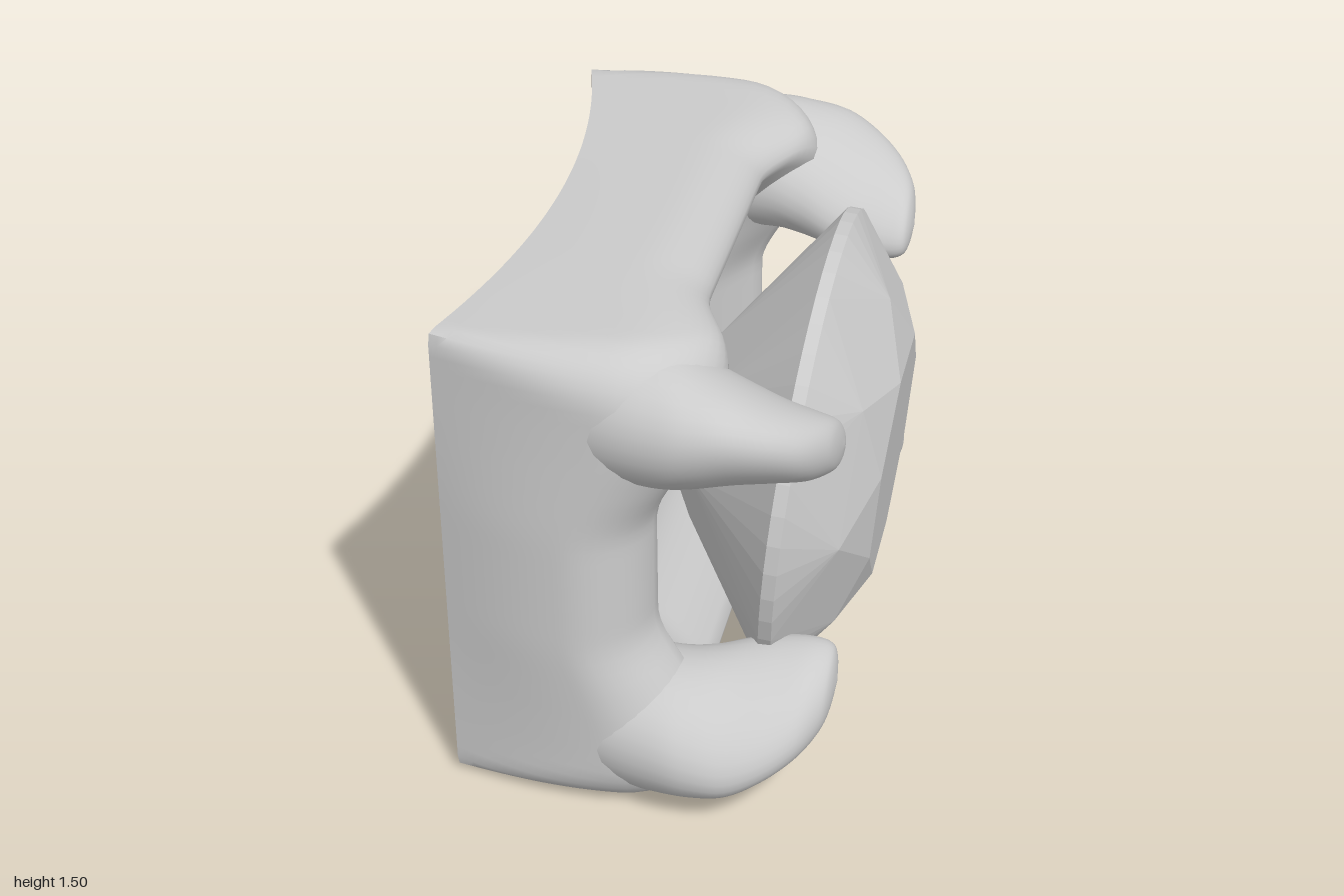
import * as THREE from 'three';
import { mergeVertices, toCreasedNormals } from 'three/addons/utils/BufferGeometryUtils.js';
import { ConvexGeometry } from 'three/addons/geometries/ConvexGeometry.js';

const { lerp, smoothstep, clamp } = THREE.MathUtils;
const MID = 0.755; // height of the middle of the block

const grey = () => new THREE.MeshStandardMaterial({ color: 0xcccccc });

function addMesh(group, name, geometry) {
  const mesh = new THREE.Mesh(geometry, grey());
  mesh.name = name;
  group.add(mesh);
  return mesh;
}

// Block: a box reshaped with a hollow back, a rounded front lip and a dished seat
function blockGeometry() {
  const geo = new THREE.BoxGeometry(1, 2, 2, 28, 40, 48);
  const pos = geo.attributes.position;
  for (let i = 0; i < pos.count; i++) {
    const t = pos.getX(i) + 0.5, u = pos.getY(i), v = pos.getZ(i);

    // depth, with a quarter-round over the front lip
    const a = Math.max(0, (t - 0.65) / 0.35) * Math.PI / 2;
    const depth = a > 0 ? 0.65 + 0.35 * Math.sin(a) : t;
    const inset = 1 - Math.cos(a);

    // section size grows from back to front
    const swell = Math.sin(Math.min(1, depth / 0.75) * Math.PI / 2);
    const hy = 0.735 + 0.015 * swell - 0.11 * inset;
    const hz = 0.85 + 0.1 * swell - 0.22 * inset;

    // round the corners of the section
    const r = lerp(0.02, 0.23, depth);
    let y = u * hy, z = v * hz;
    const cy = clamp(y, r - hy, hy - r), cz = clamp(z, r - hz, hz - r);
    const dy = y - cy, dz = z - cz, len = Math.hypot(dy, dz);
    if (len > 1e-6) {
      const k = Math.max(Math.abs(dy), Math.abs(dz)) / len;
      y = cy + dy * k;
      z = cz + dz * k;
    }

    // front lip: higher along top and bottom, highest under the claws
    const ay = Math.abs(y), az = Math.abs(z), m = Math.max(Math.abs(u), Math.abs(v));
    const corner = smoothstep(ay, 0.15, 0.45) * smoothstep(az, 0.35, 0.7);
    const front = 0.07 * smoothstep(ay, 0.35, 0.6) + 0.12 * corner - 0.25 * (1 - m * m);
    const back = -0.45 - 0.13 * (z / 0.85) ** 2;
    pos.setXYZ(i, lerp(back, front, depth), y + MID, z);
  }
  return toCreasedNormals(geo, 0.9);
}

// Claw sections: [x, centre y, centre z, half height, half width, slant]
const CLAW = [
  [-0.32, 0.50, 0.68, 0.19, 0.19, 0],
  [-0.12, 0.52, 0.735, 0.205, 0.215, 0],
  [0.04, 0.515, 0.765, 0.195, 0.226, 0.05],
  [0.14, 0.50, 0.773, 0.175, 0.226, 0.18],
  [0.24, 0.48, 0.76, 0.15, 0.224, 0.32],
  [0.34, 0.45, 0.733, 0.123, 0.203, 0.38],
  [0.42, 0.425, 0.7, 0.103, 0.168, 0.38],
  [0.47, 0.41, 0.665, 0.08, 0.122, 0.38],
  [0.49, 0.402, 0.65, 0.05, 0.075, 0.38],
  [0.5, 0.4, 0.64, 0, 0, 0.38],
];

function clawGeometry(sy, sz) {
  const curve = (from) => new THREE.CatmullRomCurve3(
    CLAW.map((s) => new THREE.Vector3(...s.slice(from, from + 3))), false, 'catmullrom');
  const centres = curve(0), sizes = curve(3);
  const rows = 45, sides = 32, points = [], index = [];
  for (let i = 0; i <= rows; i++) {
    const c = centres.getPoint(i / rows), s = sizes.getPoint(i / rows);
    for (let j = 0; j < sides; j++) {
      const a = (j / sides) * Math.PI * 2;
      const dz = s.y * Math.cos(a);
      const dy = s.x * Math.sin(a) + s.z * dz;
      points.push(c.x, MID + sy * (c.y + dy), sz * (c.z + dz));
      if (i === rows) continue;
      const p = i * sides + j, q = i * sides + (j + 1) % sides;
      if (sy * sz > 0) index.push(p, p + sides, q + sides, p, q + sides, q);
      else index.push(p, q + sides, p + sides, p, q, q + sides);
    }
  }
  let geo = new THREE.BufferGeometry();
  geo.setAttribute('position', new THREE.Float32BufferAttribute(points, 3));
  geo.setIndex(index);
  geo = mergeVertices(geo, 1e-5);
  geo.computeVertexNormals();
  return geo;
}

// Brilliant-cut stone: the hull of its facet corners, table facing +y
function gemGeometry() {
  const points = [new THREE.Vector3(0, -0.5, 0)];
  const ring = (radius, y, count, turn = 0) => {
    for (let k = 0; k < count; k++) {
      const a = (k / count) * Math.PI * 2 + turn;
      points.push(new THREE.Vector3(radius * Math.cos(a), y, radius * Math.sin(a)));
    }
  };
  ring(0.37, 0.24, 8, Math.PI / 8); // table
  ring(0.525, 0.165, 8);            // star facets
  ring(0.703, 0.02, 48);            // girdle
  ring(0.703, -0.018, 48);
  ring(0.3, -0.32, 8);              // pavilion
  return new ConvexGeometry(points);
}

export function createModel() {
  const model = new THREE.Group();
  model.name = 'clawSetStone';

  addMesh(model, 'settingBlock', blockGeometry());

  for (const sy of [1, -1]) {
    for (const sz of [1, -1]) {
      const name = (sy > 0 ? 'upper' : 'lower') + (sz > 0 ? 'Front' : 'Back') + 'Claw';
      addMesh(model, name, clawGeometry(sy, sz));
    }
  }

  // the stone leans slightly forward in its seat
  const gem = addMesh(model, 'gem', gemGeometry());
  gem.position.set(0.31, 0.74, 0);
  gem.rotation.z = -Math.PI / 2 - 0.086;

  return model;
}
